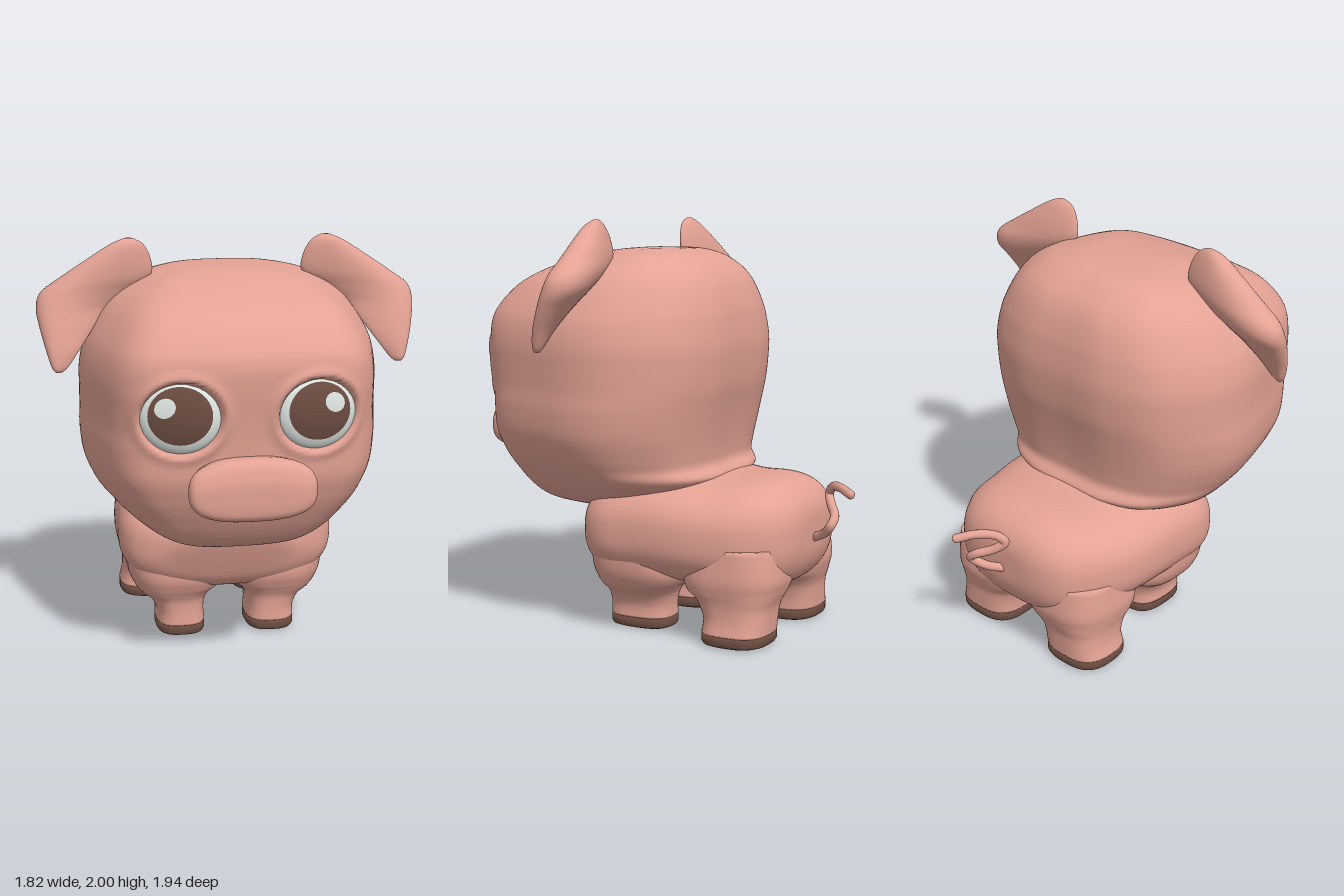
import * as THREE from 'three';

const material = (name, color, side = THREE.FrontSide) => {
  const m = new THREE.MeshStandardMaterial({ color });
  m.name = name;
  m.side = side;
  return m;
};

// Smoothly resample a short list of rows, n steps between each pair
function refine(rows, n) {
  const out = [];
  const at = (i) => rows[Math.max(0, Math.min(rows.length - 1, i))];
  for (let i = 0; i < rows.length - 1; i++) {
    for (let s = 0; s < n; s++) {
      const t = s / n;
      out.push(rows[i].map((b, k) => {
        const a = at(i - 1)[k], c = at(i + 1)[k], d = at(i + 2)[k];
        return b + 0.5 * t * (c - a + t * (2 * a - 5 * b + 4 * c - d + t * (3 * (b - c) + d - a)));
      }));
    }
  }
  out.push(rows[rows.length - 1]);
  return out;
}

// Skin a list of closed rings and close both ends
function loft(rings) {
  const m = rings[0].length, pos = [], index = [];
  rings.forEach((ring) => ring.forEach((p) => pos.push(p.x, p.y, p.z)));
  for (let i = 0; i < rings.length - 1; i++) {
    for (let j = 0; j < m; j++) {
      const a = i * m + j, b = i * m + (j + 1) % m;
      index.push(a, b, b + m, a, b + m, a + m);
    }
  }
  [0, rings.length - 1].forEach((r) => {
    const c = new THREE.Vector3();
    rings[r].forEach((p) => c.addScaledVector(p, 1 / m));
    const k = pos.length / 3;
    pos.push(c.x, c.y, c.z);
    for (let j = 0; j < m; j++) {
      const a = r * m + j, b = r * m + (j + 1) % m;
      if (r === 0) index.push(k, b, a);
      else index.push(k, a, b);
    }
  });
  const g = new THREE.BufferGeometry();
  g.setAttribute('position', new THREE.Float32BufferAttribute(pos, 3));
  g.setIndex(index);
  g.computeVertexNormals();
  return g;
}

// Rounded-square outline; put(c, s) turns the unit outline into a point
function ring(count, power, put) {
  const f = (v) => Math.sign(v) * Math.abs(v) ** (2 / power);
  return Array.from({ length: count }, (_, j) => {
    const a = (j / count) * Math.PI * 2;
    return put(f(Math.cos(a)), f(Math.sin(a)));
  });
}
const mid = (a, b, t) => (a + b) / 2 + ((b - a) / 2) * t;
// Ring lying flat at height y, for rows that climb
const flatRing = ([y, x0, x1, z0, z1], power) =>
  ring(48, power, (c, s) => new THREE.Vector3(mid(x0, x1, c), y, mid(z0, z1, -s)));
// Ring standing at depth z, for rows that run forwards
const uprightRing = ([z, w, y0, y1], power) =>
  ring(64, power, (c, s) => new THREE.Vector3(w * c, mid(y0, y1, s), z));

function headGeometry() {
  // Plan outline: round at the back, tapering to a broad flat face
  const half = [[0.3, -0.335], [0.54, -0.22], [0.69, 0.02], [0.71, 0.2], [0.66, 0.45], [0.575, 0.7], [0.49, 0.79], [0.3, 0.835]];
  const loop = [[0, -0.35], ...half, [0, 0.85], ...half.slice().reverse().map(([x, z]) => [-x, z])];
  const plan = new THREE.CatmullRomCurve3(
    loop.map(([x, z]) => new THREE.Vector3(x / 0.71, 0, (z + 0.35) / 1.2)), true).getSpacedPoints(200).slice(0, 200);
  // height, half width, back, front
  const rows = [
    [1.862, 0.02, 0.08, 0.14], [1.855, 0.22, -0.05, 0.25], [1.83, 0.36, -0.13, 0.38],
    [1.8, 0.44, -0.18, 0.48], [1.75, 0.52, -0.24, 0.62], [1.68, 0.59, -0.285, 0.74],
    [1.58, 0.655, -0.32, 0.83], [1.5, 0.69, -0.335, 0.86], [1.4, 0.71, -0.345, 0.86],
    [1.3, 0.712, -0.34, 0.85], [1.2, 0.712, -0.328, 0.84], [1.1, 0.715, -0.305, 0.835],
    [0.98, 0.7, -0.28, 0.83], [0.88, 0.66, -0.265, 0.8], [0.82, 0.625, -0.265, 0.775],
    [0.76, 0.58, -0.3, 0.745], [0.7, 0.52, -0.22, 0.71], [0.64, 0.43, -0.1, 0.665],
    [0.6, 0.33, 0.05, 0.61], [0.575, 0.2, 0.2, 0.54], [0.565, 0.03, 0.36, 0.42],
  ];
  return loft(refine(rows, 6).map(([y, w, z0, z1]) => plan.map((p) => {
    const v = new THREE.Vector3(p.x * w, y, z0 + p.z * (z1 - z0));
    if (v.z > 0.6) {
      // Eye sockets with a soft raised rim
      const d = Math.hypot((Math.abs(v.x) - 0.31) / 0.18, (y - 1.28) / 0.165);
      v.z += 0.014 * Math.exp(-(((d - 1.14) / 0.13) ** 2)) - 0.06 * (1 - THREE.MathUtils.smoothstep(d, 0.86, 1.06));
    }
    return v;
  })));
}

export function createModel() {
  const pink = material('pink skin', 0xe3a294, THREE.DoubleSide);
  const brown = material('dark brown', 0x6b4c40);
  const white = material('eye white', 0xdfe6e2);
  const pig = new THREE.Group();
  pig.name = 'pig';
  const add = (name, geometry, mat, parent = pig) => {
    const mesh = new THREE.Mesh(geometry, mat);
    mesh.name = name;
    parent.add(mesh);
    return mesh;
  };

  add('head', headGeometry(), pink);

  // Body: depth, half width, bottom, top
  add('body', loft(refine([
    [-0.742, 0.05, 0.48, 0.54], [-0.738, 0.17, 0.41, 0.61], [-0.715, 0.27, 0.34, 0.67],
    [-0.67, 0.35, 0.28, 0.72], [-0.6, 0.41, 0.25, 0.755], [-0.5, 0.465, 0.24, 0.77],
    [-0.35, 0.505, 0.235, 0.768], [-0.2, 0.525, 0.235, 0.785], [0, 0.53, 0.235, 0.8],
    [0.15, 0.53, 0.245, 0.78], [0.25, 0.49, 0.27, 0.74], [0.31, 0.42, 0.32, 0.69],
    [0.35, 0.33, 0.4, 0.64], [0.39, 0.22, 0.5, 0.61], [0.41, 0.05, 0.56, 0.6],
  ], 5).map((r) => uprightRing(r, 2.6))), pink);

  // Snout: depth, half width, bottom, top
  add('snout', loft(refine([
    [0.74, 0.25, 0.84, 1.08], [0.84, 0.265, 0.83, 1.1], [0.895, 0.29, 0.82, 1.105],
    [0.935, 0.285, 0.825, 1.085], [0.958, 0.25, 0.85, 1.03], [0.965, 0.17, 0.89, 0.99], [0.966, 0.04, 0.93, 0.95],
  ], 5).map((r) => uprightRing(r, 2.7))), pink);

  // Rows of height, inner, outer, back, front
  const legs = {
    front: [
      [0.058, 0.105, 0.35, -0.085, 0.242], [0.12, 0.11, 0.35, -0.085, 0.24], [0.18, 0.1, 0.38, -0.1, 0.245],
      [0.22, 0.07, 0.43, -0.13, 0.262], [0.26, 0.02, 0.462, -0.18, 0.283], [0.33, 0, 0.487, -0.2, 0.305], [0.47, 0.05, 0.5, -0.15, 0.3],
    ],
    hind: [
      [0.058, 0.125, 0.477, -0.642, -0.312], [0.12, 0.12, 0.462, -0.645, -0.315], [0.18, 0.1, 0.46, -0.65, -0.29],
      [0.22, 0.07, 0.465, -0.663, -0.26], [0.26, 0.02, 0.474, -0.677, -0.21], [0.33, 0, 0.483, -0.69, -0.2], [0.47, 0.05, 0.47, -0.67, -0.25],
    ],
  };
  // Ear: height, inner, outer, depth, half thickness
  const earRows = [
    [1.395, 0.8, 0.83, 0.315, 0.008], [1.42, 0.77, 0.848, 0.31, 0.022], [1.5, 0.71, 0.872, 0.285, 0.038],
    [1.6, 0.635, 0.897, 0.235, 0.06], [1.68, 0.565, 0.908, 0.19, 0.08], [1.75, 0.46, 0.885, 0.175, 0.08],
    [1.82, 0.365, 0.79, 0.18, 0.07], [1.9, 0.365, 0.67, 0.19, 0.055], [1.97, 0.4, 0.56, 0.2, 0.033], [2, 0.45, 0.49, 0.2, 0.008],
  ];

  for (const side of [1, -1]) {
    const word = side > 0 ? 'left' : 'right';
    // Mirror by flipping x and swapping the inner and outer limits
    const flip = ([y, a, b, ...rest]) => (side > 0 ? [y, a, b, ...rest] : [y, -b, -a, ...rest]);

    for (const [place, rows] of Object.entries(legs)) {
      add(`${word} ${place} leg`, loft(refine(rows.map(flip), 5).map((r) => flatRing(r, 2.8))), pink);
      const [, x0, x1, z0, z1] = flip(rows[0]);
      const hoof = [[0, 0.03], [0.001, 0.025], [0.008, 0.007], [0.02, 0], [0.058, 0]].map(
        ([y, i]) => flatRing([y, x0 + i, x1 - i, z0 + i, z1 - i], 2.8));
      add(`${word} ${place} hoof`, loft(hoof), brown);
    }

    // Floppy ear, thicker towards its outer fold
    add(`${word} ear`, loft(refine(earRows.map(flip), 5).map(([y, x0, x1, z, h]) =>
      ring(48, 2, (c, s) => new THREE.Vector3(mid(x0, x1, c), y, z - s * h * (1 + 0.4 * c * side))))), pink);

    // Eye: shallow dome with thin iris and glint caps
    const eye = new THREE.Group();
    eye.name = `${word} eye`;
    eye.position.set(side * 0.31, 1.28, 0.79);
    eye.rotation.y = side * 0.14;
    eye.scale.set(0.185, 0.17, 0.062);
    pig.add(eye);
    add('eyeball', new THREE.SphereGeometry(1, 40, 24), white, eye);
    const cap = (name, radius, angle, x, y, mat) => {
      const g = new THREE.SphereGeometry(radius, 40, 12, 0, Math.PI * 2, 0, angle).rotateX(Math.PI / 2);
      const to = new THREE.Vector3(x, y, Math.sqrt(1 - x * x - y * y));
      add(name, g, mat, eye).quaternion.setFromUnitVectors(new THREE.Vector3(0, 0, 1), to);
    };
    cap('iris', 1.02, 0.88, 0, 0.14, brown);
    cap('glint', 1.04, 0.27, side * 0.36, 0.32, white);
  }

  // Curly tail
  const curl = new THREE.CatmullRomCurve3([
    [0, 0.47, -0.71], [0.05, 0.51, -0.8], [0.1, 0.56, -0.855], [0.06, 0.6, -0.86], [-0.02, 0.64, -0.81],
    [-0.065, 0.685, -0.78], [-0.04, 0.725, -0.81], [0.03, 0.735, -0.88], [0.09, 0.72, -0.95],
  ].map((p) => new THREE.Vector3(...p)));
  add('tail', new THREE.TubeGeometry(curl, 80, 0.022, 12), pink);
  add('tail tip', new THREE.SphereGeometry(0.022, 12, 8), pink).position.copy(curl.getPoint(1));

  return pig;
}
